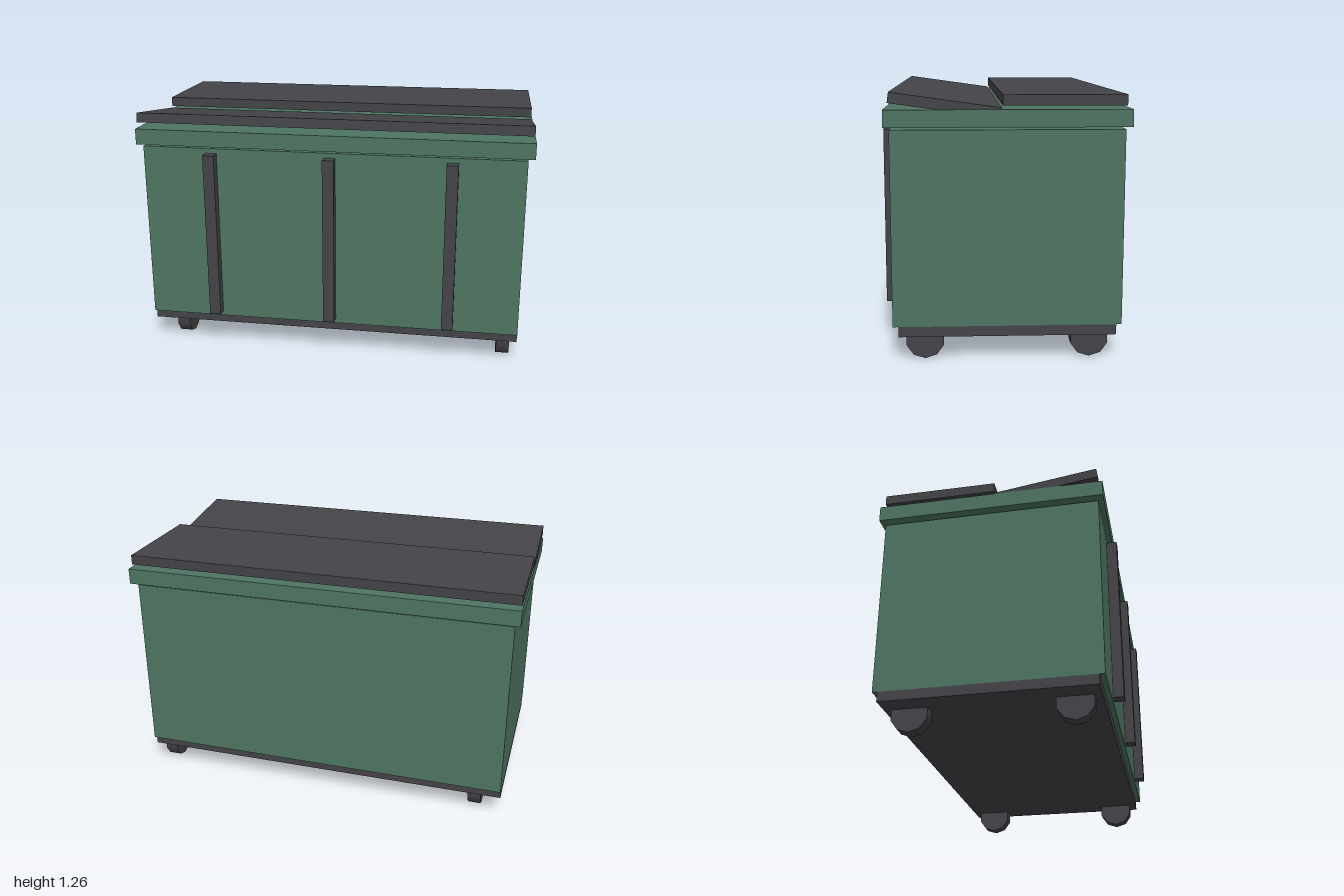
import * as THREE from 'three';

export function createModel() {
  const model = new THREE.Group();
  model.name = 'dumpster';

  const green = new THREE.MeshStandardMaterial({ color: 0x4e7562 });
  green.name = 'green paint';
  const dark = new THREE.MeshStandardMaterial({ color: 0x444348 });
  dark.name = 'dark plastic';

  // Box given by its [min, max] extent on each axis
  function box(name, material, [x0, x1], [y0, y1], [z0, z1]) {
    const mesh = new THREE.Mesh(new THREE.BoxGeometry(x1 - x0, y1 - y0, z1 - z0), material);
    mesh.position.set((x0 + x1) / 2, (y0 + y1) / 2, (z0 + z1) / 2);
    mesh.name = name;
    model.add(mesh);
    return mesh;
  }

  // Container, base and the rim floating just above it
  box('body', green, [-0.972, 0.968], [0.166, 1.084], [-0.547, 0.525]);
  box('base', dark, [-0.972, 0.968], [0.117, 0.166], [-0.522, 0.499]);
  box('rim', green, [-1, 1], [1.097, 1.177], [-0.573, 0.55]);

  // Flat rear lid and the front lid propped up at its front edge
  box('rearLid', dark, [-0.997, 0.992], [1.194, 1.243], [-0.547, 0.014]);
  const frontLid = box('frontLid', dark, [-0.997, 0.992], [1.171, 1.22], [0.019, 0.528]);
  frontLid.position.y = 1.196;
  frontLid.rotation.x = -0.139;

  // Upright ribs on the front
  for (const x of [-0.614, -0.002, 0.61]) {
    box('frontRib', dark, [x - 0.029, x + 0.029], [0.193, 1.059], [0.525, 0.577]);
  }

  // Ten-sided wheels, corner down, partly sunk into the base
  const wheelGeometry = new THREE.CylinderGeometry(0.092, 0.092, 0.067, 10, 1, false, Math.PI / 2);
  wheelGeometry.rotateZ(Math.PI / 2);
  const wheelMaterial = dark.clone();
  wheelMaterial.name = 'wheel rubber';
  for (const x of [-0.834, 0.898]) {
    for (const z of [-0.399, 0.376]) {
      const wheel = new THREE.Mesh(wheelGeometry, dark);
      wheel.position.set(x, 0.092, z);
      wheel.name = 'wheel';
      model.add(wheel);
    }
  }

  return model;
}
